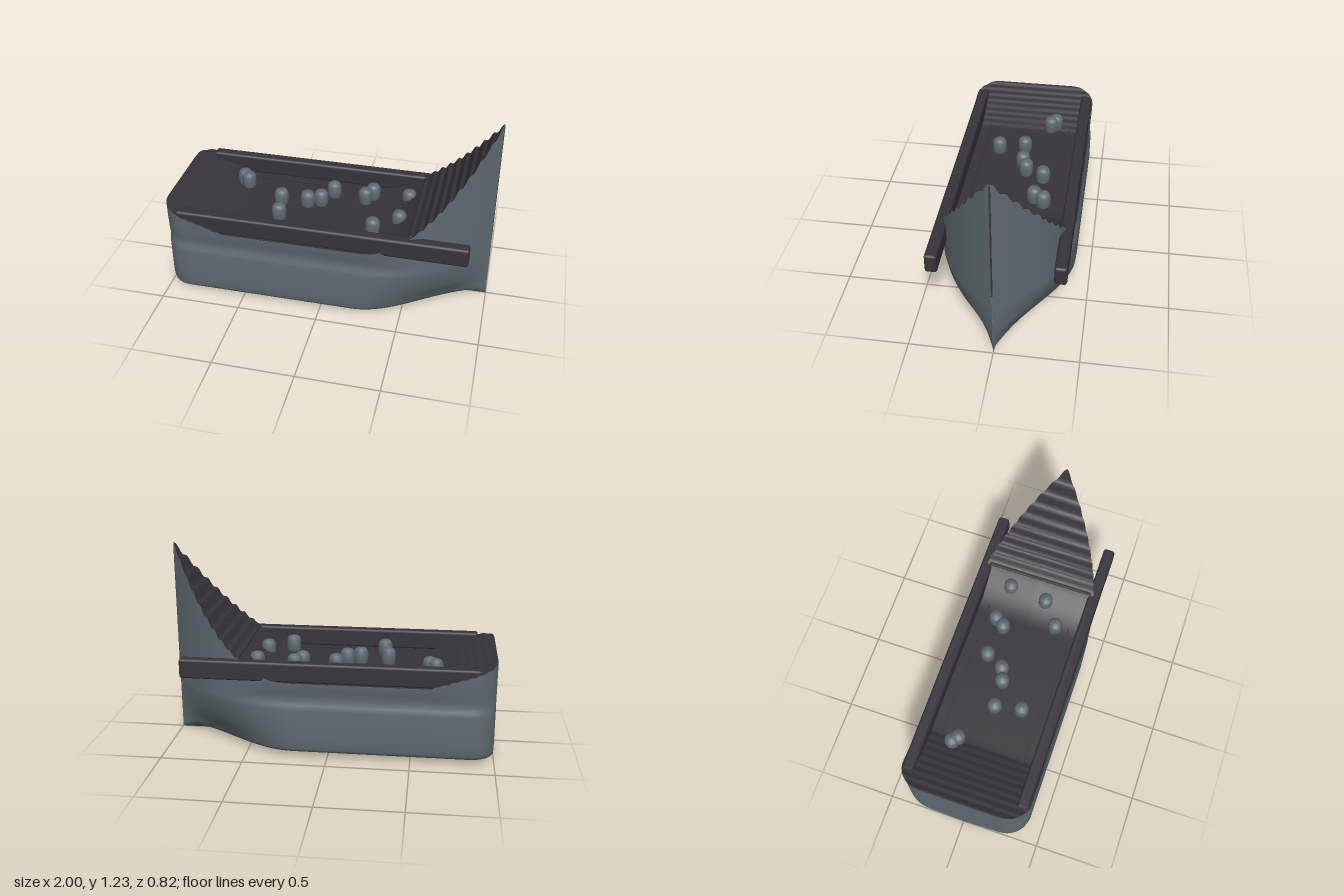
import * as THREE from 'three';
import { RoundedBoxGeometry } from 'three/addons/geometries/RoundedBoxGeometry.js';

const smooth = THREE.MathUtils.smoothstep;

// Half width of the hull in plan
function halfWidth(x) {
  if (x < -0.85) {
    const u = Math.min(1, (-0.85 - x) / 0.15);
    return 0.25 + 0.16 * Math.sqrt(1 - u * u);
  }
  if (x > 0.2) return Math.max(0.001, 0.41 * (1 - ((x - 0.2) / 0.8) ** 2.5));
  return 0.41;
}

// Height of the deck edge, with small plank ripples at the bow and stern
function sheer(x) {
  if (x < -0.6) return 0.48 + 0.13 * ((-0.6 - x) / 0.4) + 0.003 * Math.sin((x + 1) * 125);
  if (x < 0.25) return 0.48;
  const ripple = 0.011 * smooth(x, 0.5, 0.65) * Math.sin((1 - x) * 125);
  return 0.48 + 0.745 * ((x - 0.25) / 0.75) ** 1.9 + ripple;
}

// Half cross-section from keel to deck edge as [z, y] pairs
const profile = [[0, 0], [0.5, 0.02], [0.96, 0.04], [0.985, 0.06], [1, 0.12], [1, 0.2],
  [1, 0.31], [0.985, 0.34], [0.957, 0.365], [0.965, 0.4], [0.98, 0.43]];
function halfSection(x) {
  const w = halfWidth(x), top = sheer(x);
  const bow = smooth(x, 0.2, 1), waist = 1 - smooth(x, 0.35, 0.65);
  const pts = profile.map(([f, y]) => {
    const k = y > 0.3 ? 1 - (1 - f) * waist : f;
    const narrow = 1 - 0.65 * bow * (1 - smooth(y, 0.02, 0.28));
    return [k * w * narrow, y];
  });
  for (const t of [0.5, 1]) pts.push([w * (1 - 0.01 * (1 - t) * waist), 0.43 + (top - 0.43) * t]);
  return pts;
}

// Surface through equal-length rows of [x, y, z] points
function loft(rows) {
  const n = rows[0].length, index = [];
  for (let i = 0; i < rows.length - 1; i++) {
    for (let j = 0; j < n - 1; j++) {
      const a = i * n + j, b = a + n;
      index.push(a, a + 1, b, a + 1, b + 1, b);
    }
  }
  const g = new THREE.BufferGeometry();
  g.setAttribute('position', new THREE.Float32BufferAttribute(rows.flat(2), 3));
  g.setIndex(index);
  g.computeVertexNormals();
  return g;
}

export function createModel() {
  const group = new THREE.Group();
  const slate = new THREE.MeshStandardMaterial({ color: 0x5f6b70, side: THREE.DoubleSide });
  slate.name = 'slate hull';
  const dark = new THREE.MeshStandardMaterial({ color: 0x37333b, side: THREE.DoubleSide });
  dark.name = 'dark timber';
  const add = (name, geometry, material, x = 0, y = 0, z = 0) => {
    const m = new THREE.Mesh(geometry, material);
    m.name = name;
    m.position.set(x, y, z);
    group.add(m);
  };

  // Stations along the length, denser at the rounded stern and the bow
  const xs = [];
  for (let i = 0; i < 32; i++) xs.push(-1 + 0.4 * (i / 32) ** 1.3);
  for (let i = 0; i < 20; i++) xs.push(-0.6 + 0.85 * i / 20);
  for (let i = 0; i <= 75; i++) xs.push(0.25 + i * 0.01);

  // Hull shell
  add('hull', loft(xs.map((x) => {
    const half = halfSection(x);
    const left = half.slice(1).reverse().map(([z, y]) => [x, y, z]);
    return [...left, ...half.map(([z, y]) => [x, y, -z])];
  })), slate);

  // Flat stern
  add('transom', loft(halfSection(-1).map(([z, y]) => [[-1, y, -z], [-1, y, z]])), slate);

  // Deck, sweeping up into the bow
  add('deck', loft(xs.map((x) => [-1, 0, 1].map((s) => [x, sheer(x), s * halfWidth(x) * 0.995]))), dark);

  // Dark strip along the stem
  add('stemStrip', new THREE.BoxGeometry(0.006, 0.76, 0.009), dark, 0.997, 0.83, 0);

  // Beam at the foot of the raised bow
  add('bowBeam', new RoundedBoxGeometry(0.035, 0.04, 0.69, 1, 0.008), dark, 0.55, 0.59, 0);

  // Side rails and deck seams
  for (const s of [-1, 1]) {
    add('rail', new RoundedBoxGeometry(1.79, 0.12, 0.072, 1, 0.014), dark, -0.005, 0.54, s * 0.364);
    add('deckSeam', new THREE.BoxGeometry(0.97, 0.008, 0.008), dark, -0.15, 0.483, s * 0.27);
  }

  // Barrels scattered over the deck
  const barrel = new THREE.LatheGeometry([[0, 0], [0.036, 0], [0.043, 0.012], [0.046, 0.05],
    [0.044, 0.085], [0.034, 0.1], [0.016, 0.108], [0, 0.11]].map(([r, y]) => new THREE.Vector2(r, y)), 16);
  const spots = [[-0.635, -0.18], [-0.6, -0.15], [-0.34, -0.005], [-0.31, 0.16], [-0.17, -0.015],
    [-0.09, -0.045], [-0.03, -0.16], [0.18, -0.13], [0.22, -0.19], [0.455, -0.17], [0.43, 0.075], [0.285, 0.185]];
  for (const [x, z] of spots) add('barrel', barrel, slate, x, 0.485, z);

  return group;
}
